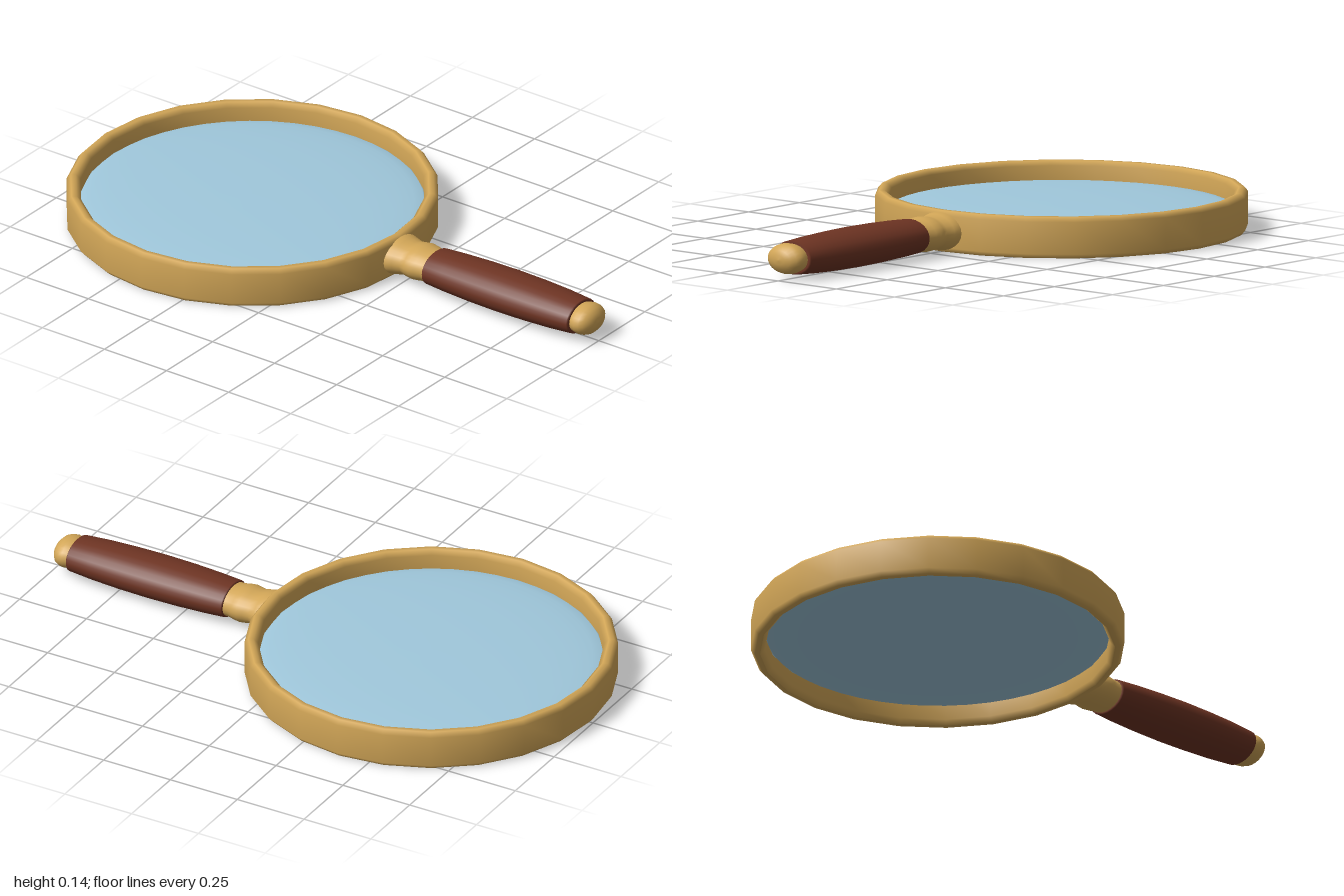
import * as THREE from 'three';

export function createModel() {
  const model = new THREE.Group();
  const material = (name, color, side = THREE.FrontSide) => {
    const m = new THREE.MeshStandardMaterial({ color, side });
    m.name = name;
    return m;
  };
  const brass = material('brass', 0xd2a657);
  const wood = material('wood', 0x6e3423);
  const glass = material('glass', 0xa0c8dc);

  const midY = 0.0675, ringX = -0.395;
  const add = (name, geometry, mat) => {
    const mesh = new THREE.Mesh(geometry, mat);
    mesh.name = name;
    model.add(mesh);
    return mesh;
  };
  const lathe = (points, sides) =>
    new THREE.LatheGeometry(points.map(([r, y]) => new THREE.Vector2(r, y)), sides);

  // Bevelled ring, profile runs up the outside and down the inside
  add('ring', lathe([
    [0.575, 0], [0.592, 0], [0.605, 0.015], [0.605, 0.12],
    [0.592, 0.135], [0.575, 0.135], [0.56, 0.12], [0.56, 0.015], [0.575, 0],
  ], 24), brass).position.x = ringX;

  // Lens bulging gently on both faces
  const lensProfile = [];
  const steps = 16;
  for (let i = 0; i <= steps; i++) {
    const a = -Math.PI / 2 + (i / steps) * Math.PI;
    lensProfile.push([i % steps ? 0.566 * Math.cos(a) : 0, 0.03 * Math.sin(a)]);
  }
  add('lens', lathe(lensProfile, 48), glass).position.set(ringX, midY, 0);

  // Handle parts: turned along x with an oval section, flatter in y
  const turned = (name, points, mat) => {
    const geometry = lathe(points, 24);
    geometry.scale(0.7, 1, 1);
    geometry.rotateZ(-Math.PI / 2);
    add(name, geometry, mat).position.y = midY;
  };
  turned('ferrule', [
    [0.085, 0.18], [0.089, 0.205], [0.083, 0.225], [0.075, 0.25], [0.079, 0.27],
    [0.082, 0.29], [0.079, 0.31], [0.074, 0.33], [0.074, 0.35],
  ], brass);
  turned('handle', [
    [0, 0.343], [0.076, 0.343], [0.081, 0.347], [0.087, 0.42], [0.092, 0.52],
    [0.094, 0.63], [0.092, 0.74], [0.087, 0.84], [0.079, 0.926], [0.073, 0.93], [0, 0.93],
  ], wood);
  turned('endCap', [
    [0.064, 0.92], [0.068, 0.935], [0.072, 0.95], [0.07, 0.965], [0.062, 0.98],
    [0.044, 0.992], [0.022, 0.998], [0, 1],
  ], brass);

  return model;
}
